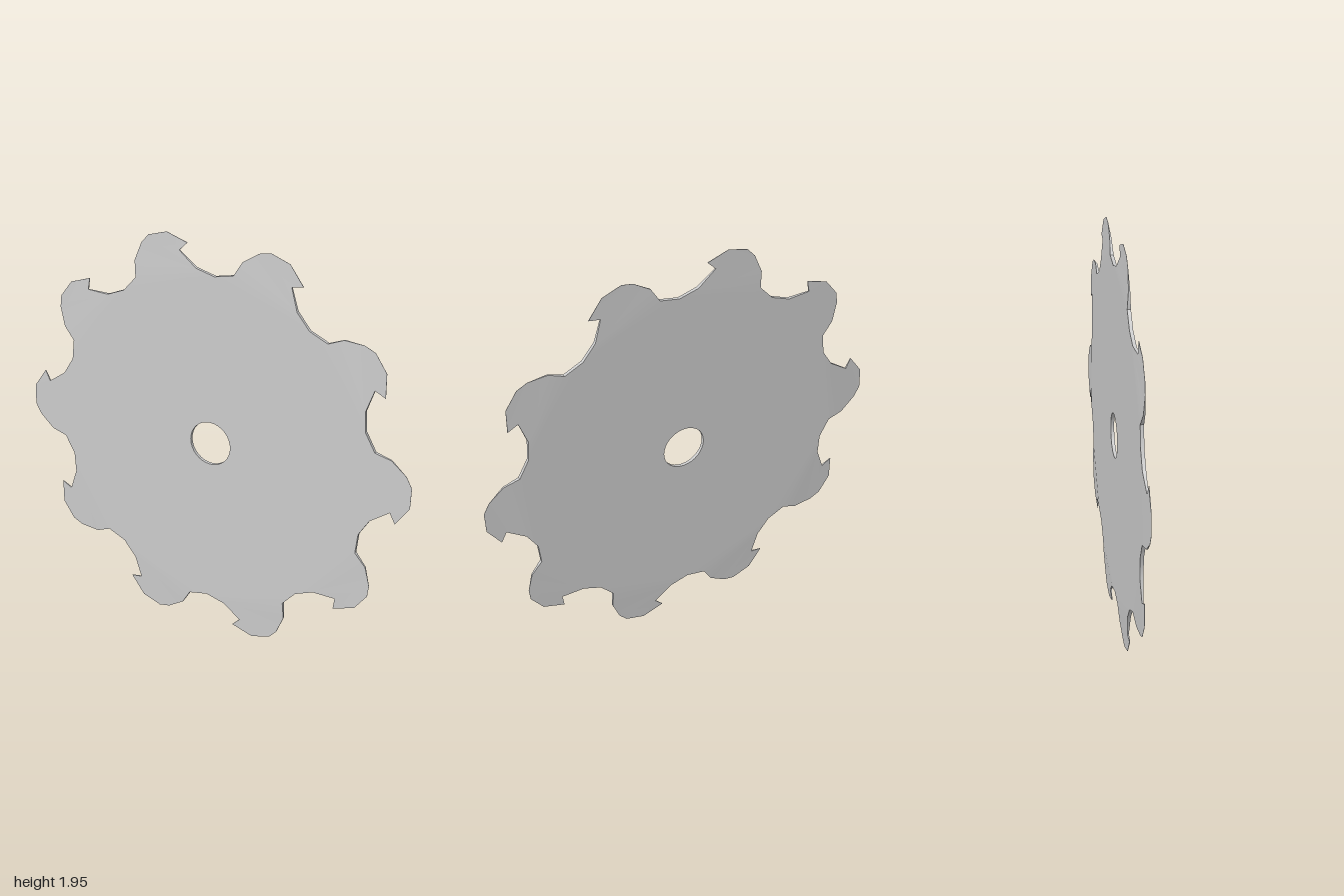
import * as THREE from 'three';
import { toCreasedNormals } from 'three/addons/utils/BufferGeometryUtils.js';

const TEETH = 10, HALF = 0.008, HOLE_RADIUS = 0.105, HOLE_SIDES = 32, CENTRE_Y = 0.975;

// One tooth, counter-clockwise: [radius, angle in degrees]
const TOOTH = [
  [0.808, -19.5], // gullet floor
  [0.835, -13.0], // gullet, below the hook
  [0.914, -7.9],  // notch under the hook
  [0.947, -10.7], // hook tip
  [1.0, -4.9],
  [1.0, 0.8],
  [0.975, 3.7],
  [0.909, 7.9],   // back of the tooth
  [0.835, 10.0],  // foot of the back
];

// Half thickness: flat body, ground down to an edge on the teeth
const halfThickness = (r) =>
  HALF * THREE.MathUtils.clamp(1 - (r - 0.84) / 0.135, 0.06, 1);

const polar = (r, degrees) => {
  const a = THREE.MathUtils.degToRad(degrees);
  return new THREE.Vector2(r * Math.cos(a), r * Math.sin(a));
};

function bladeGeometry() {
  const positions = [];
  const push = (p, side) => positions.push(p.x, p.y, side * halfThickness(p.length()));

  // Front and back faces of a flat region
  const addFaces = (contour, holes = []) => {
    const points = contour.concat(...holes);
    for (const [a, b, c] of THREE.ShapeUtils.triangulateShape(contour, holes)) {
      [a, b, c].forEach((i) => push(points[i], 1));
      [a, c, b].forEach((i) => push(points[i], -1));
    }
  };
  // Rim wall along a closed loop, with the solid on the left of the path
  const addWall = (loop) => loop.forEach((p, i) => {
    const q = loop[(i + 1) % loop.length];
    push(p, -1); push(q, -1); push(q, 1);
    push(p, -1); push(q, 1); push(p, 1);
  });

  const rim = [], body = [];
  for (let t = 0; t < TEETH; t++) {
    const tooth = TOOTH.map(([r, a]) => polar(r, a + (t * 360) / TEETH));
    rim.push(...tooth);
    body.push(tooth[0], tooth[1], tooth[tooth.length - 1]);
    addFaces(tooth.slice(1));
  }
  const hole = [];
  for (let i = 0; i < HOLE_SIDES; i++) hole.push(polar(HOLE_RADIUS, (-i * 360) / HOLE_SIDES));

  addFaces(body, [hole]);
  addWall(rim);
  addWall(hole);

  const geometry = new THREE.BufferGeometry();
  geometry.setAttribute('position', new THREE.Float32BufferAttribute(positions, 3));
  return toCreasedNormals(geometry, 0.5);
}

export function createModel() {
  const group = new THREE.Group();
  group.name = 'sawBlade';
  const blade = new THREE.Mesh(
    bladeGeometry(),
    new THREE.MeshStandardMaterial({ color: 0xcccccc }),
  );
  blade.name = 'toothedBlade';
  blade.position.y = CENTRE_Y;
  group.add(blade);
  return group;
}
